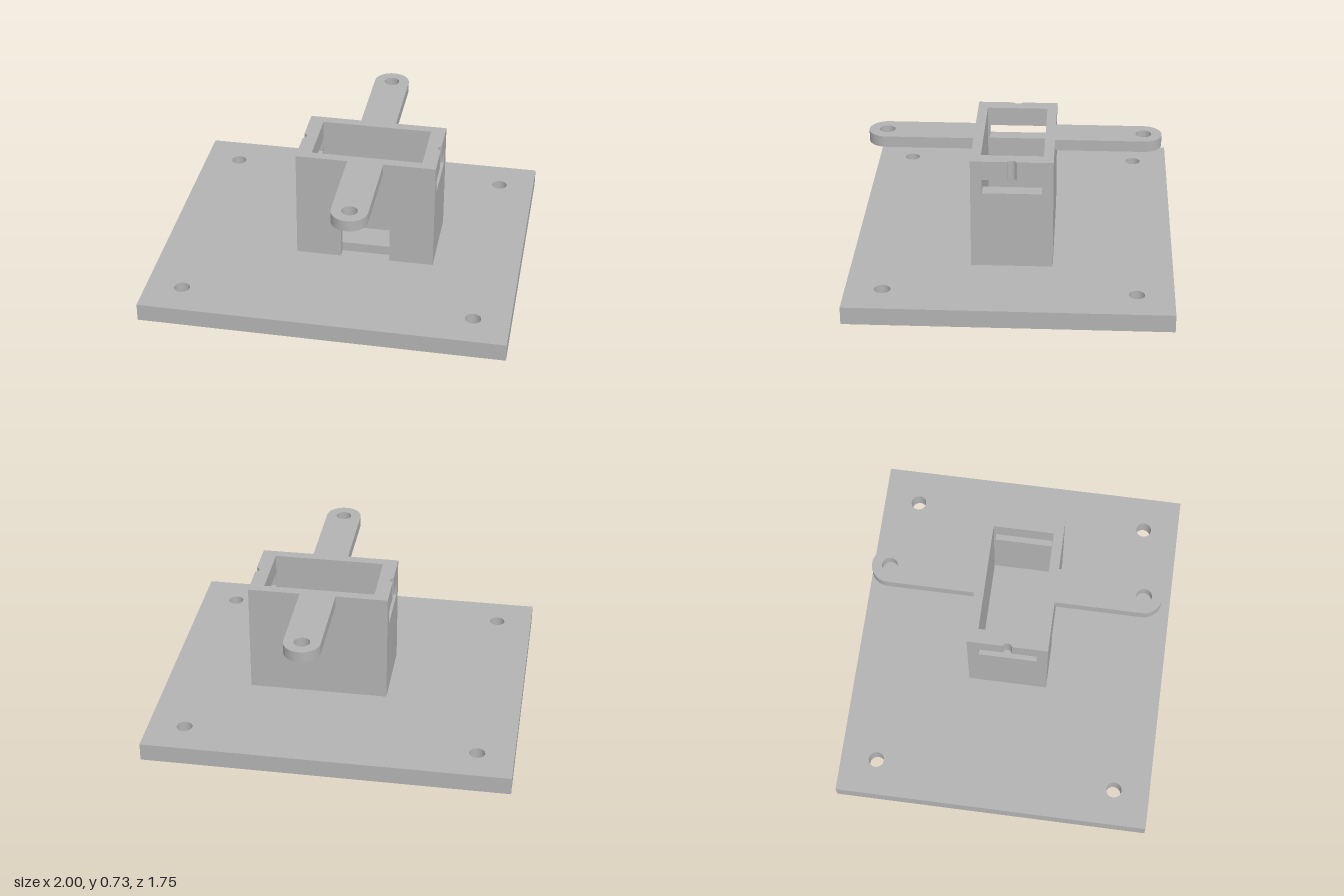
import * as THREE from 'three';

const CX = 0.135;                 // housing centre in x
const HX = 0.385, HZ = 0.222;     // housing outer half sizes
const IX = 0.305, IZ = 0.168;     // cavity half sizes
const NL = -0.135, NR = 0.14;     // front opening, relative to the housing centre

const poly = (pts) => new THREE.Shape(pts.map(([x, y]) => new THREE.Vector2(x, y)));
const rect = (x, y) => [[-x, -y], [x, -y], [x, y], [-x, y]];

function addHole(shape, x, y, r) {
  const hole = new THREE.Path();
  hole.absarc(x, y, r, 0, Math.PI * 2, true);
  shape.holes.push(hole);
}

export function createModel() {
  const model = new THREE.Group();
  model.name = 'servoMount';
  const grey = new THREE.MeshStandardMaterial({ color: 0xb2b2b2 });
  grey.name = 'grey';

  // Plan outline (x, -z) extruded upwards from y0 to y1
  const layer = (name, shape, y0, y1, parent, x = 0) => {
    const geo = new THREE.ExtrudeGeometry(shape, { depth: y1 - y0, bevelEnabled: false, curveSegments: 24 });
    geo.rotateX(-Math.PI / 2);
    const mesh = new THREE.Mesh(geo, grey);
    mesh.name = name;
    mesh.position.set(x, y0, 0);
    parent.add(mesh);
  };

  // Base plate with four screw holes
  const plate = poly(rect(1, 0.875));
  for (const sx of [-1, 1]) for (const sy of [-1, 1]) addHole(plate, sx * 0.8, sy * 0.675, 0.043);
  layer('basePlate', plate, 0, 0.1, model);

  const housing = new THREE.Group();
  housing.name = 'housing';
  housing.position.x = CX;
  model.add(housing);

  // Cavity floor, cut back where the front opening passes through the wall
  layer('housingFloor', poly([
    [-HX, -HZ], [NL, -HZ], [NL, -IZ], [NR, -IZ], [NR, -HZ], [HX, -HZ], [HX, HZ], [-HX, HZ],
  ]), 0.1, 0.155, housing);

  // Lower walls with the open front gap
  layer('lowerWalls', poly([
    [NR, -HZ], [HX, -HZ], [HX, HZ], [-HX, HZ], [-HX, -HZ], [NL, -HZ],
    [NL, -IZ], [-IX, -IZ], [-IX, IZ], [IX, IZ], [IX, -IZ], [NR, -IZ],
  ]), 0.155, 0.303, housing);

  // Closed ring of walls
  const ring = poly(rect(HX, HZ));
  ring.holes.push(new THREE.Path(poly(rect(IX, IZ)).getPoints()));
  layer('middleWalls', ring, 0.303, 0.54, housing);

  // Front and back walls beside the side slots
  const SZ = 0.16;
  for (const s of [-1, 1]) {
    const pts = [[-HX, SZ], [-IX, SZ], [-IX, IZ], [IX, IZ], [IX, SZ], [HX, SZ], [HX, HZ], [-HX, HZ]];
    layer(s < 0 ? 'slotWallFront' : 'slotWallBack', poly(pts.map(([x, y]) => [s * x, s * y])), 0.54, 0.62, housing);
  }

  // Rim with a small round cable groove in each end
  const rim = new THREE.Shape();
  const r = 0.026, off = 0.008, a = Math.acos(off / r);
  rim.moveTo(-HX, -HZ);
  rim.lineTo(HX, -HZ);
  rim.absarc(HX + off, 0, r, Math.PI + a, Math.PI - a, true);
  rim.lineTo(HX, HZ);
  rim.lineTo(-HX, HZ);
  rim.absarc(-HX - off, 0, r, a, -a, true);
  rim.closePath();
  rim.holes.push(new THREE.Path(poly(rect(IX, IZ)).getPoints()));
  layer('rim', rim, 0.62, 0.727, housing);

  // Round-ended mounting arms with a screw hole
  for (const s of [-1, 1]) {
    const w = 0.099, end = 0.701;
    const arm = new THREE.Shape();
    arm.moveTo(-s * w, s * HZ);
    arm.lineTo(s * w, s * HZ);
    arm.absarc(0, s * end, w, s > 0 ? 0 : Math.PI, s > 0 ? Math.PI : Math.PI * 2, false);
    arm.closePath();
    addHole(arm, 0, s * end, 0.043);
    layer(s < 0 ? 'frontArm' : 'backArm', arm, 0.665, 0.727, model, CX);
  }
  return model;
}
